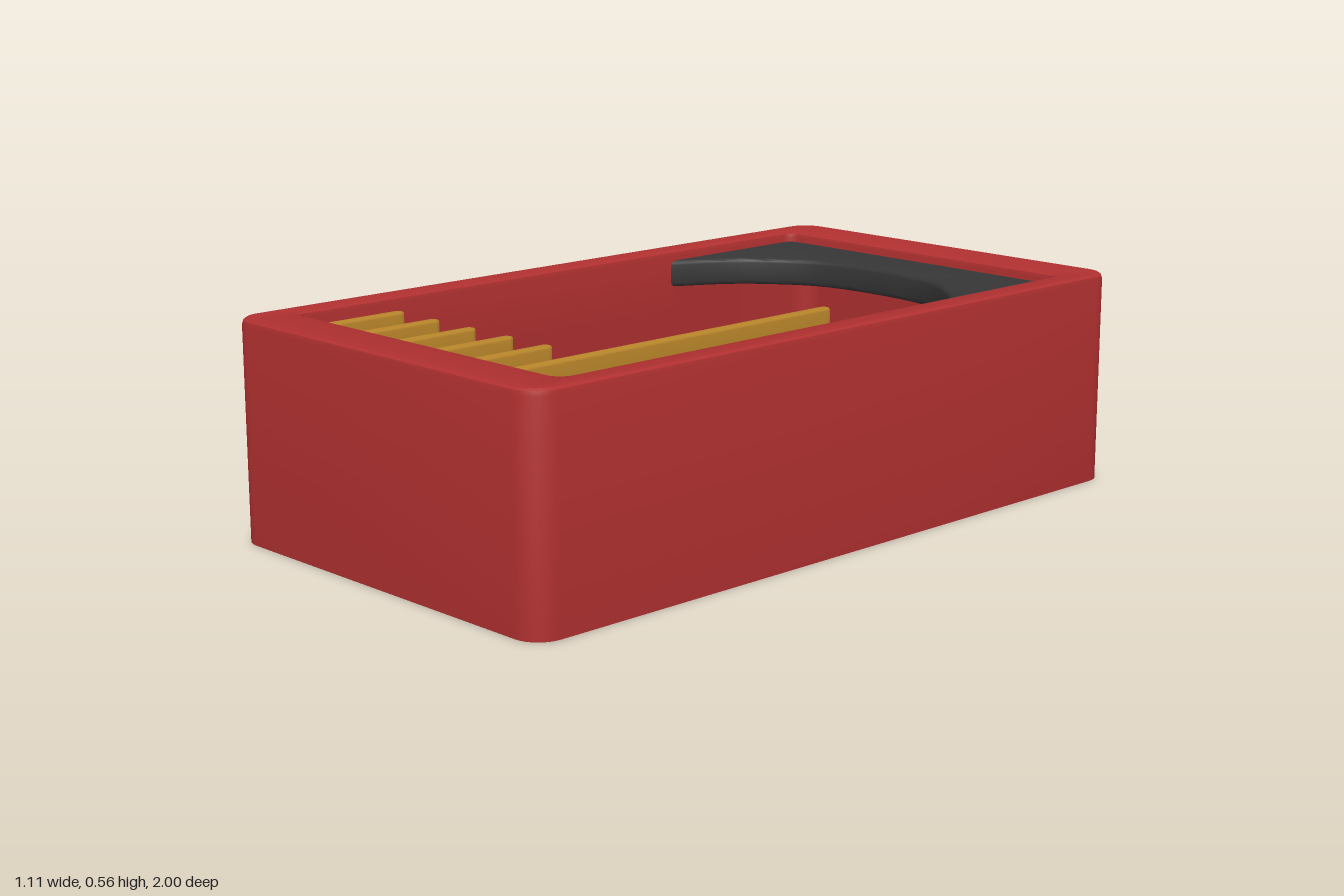
import * as THREE from 'three';
import { toCreasedNormals } from 'three/addons/utils/BufferGeometryUtils.js';

const red = new THREE.MeshStandardMaterial({ color: 0xb03030, side: THREE.DoubleSide });
const dark = new THREE.MeshStandardMaterial({ color: 0x363636 });
const gold = new THREE.MeshStandardMaterial({ color: 0xb8852a });

const LIP = 0.385;      // underside of the inner lip
const STEP_Z = -0.39;   // behind this line the lip is shallower

// Rounded rectangle in x and z, with extra points on the sides at the lip step
function ring([w, d, r, y, scale = 1, stepped = false]) {
  const pts = [];
  const corners = [[1, 1], [1, -1], [-1, -1], [-1, 1]];
  corners.forEach(([sx, sz], c) => {
    for (let i = 0; i <= 8; i++) {
      const a = Math.PI / 2 * (1 - c - i / 8);
      pts.push([sx * (w - r) + r * Math.cos(a), sz * (d - r) + r * Math.sin(a)]);
    }
    if (c === 0) pts.push([w, STEP_Z + 0.001], [w, STEP_Z - 0.001]);
    if (c === 2) pts.push([-w, STEP_Z - 0.001], [-w, STEP_Z + 0.001]);
  });
  return pts.map(([x, z]) =>
    new THREE.Vector3(x * scale, stepped && z < STEP_Z ? 0.46 : y, z * scale));
}

// Skin between successive rings
function loft(sections) {
  const rings = sections.map(ring), pos = [];
  const push = (...vs) => vs.forEach(v => pos.push(v.x, v.y, v.z));
  for (let k = 0; k < rings.length - 1; k++) {
    const a = rings[k], b = rings[k + 1], n = a.length;
    for (let i = 0; i < n; i++) {
      const j = (i + 1) % n;
      push(a[i], b[j], a[j], a[i], b[i], b[j]);
    }
  }
  // rings run clockwise seen from above, so flip every triangle to face outwards
  for (let t = 0; t < pos.length; t += 9) {
    for (let c = 0; c < 3; c++) [pos[t + 3 + c], pos[t + 6 + c]] = [pos[t + 6 + c], pos[t + 3 + c]];
  }
  const g = new THREE.BufferGeometry();
  g.setAttribute('position', new THREE.Float32BufferAttribute(pos, 3));
  return toCreasedNormals(g, 0.6);
}

// Extrude a plan outline (x, -z) upwards from y0 to y1
function plate(shape, y0, y1, bevel) {
  const g = new THREE.ExtrudeGeometry(shape, {
    depth: y1 - y0 - 2 * bevel, bevelEnabled: true, bevelThickness: bevel,
    bevelSize: bevel, bevelOffset: -bevel, bevelSegments: 3, curveSegments: 8,
  });
  g.rotateX(-Math.PI / 2).translate(0, y0 + bevel, 0);
  return toCreasedNormals(g, 0.6);
}

function add(parent, name, geometry, material) {
  const m = new THREE.Mesh(geometry, material);
  m.name = name;
  parent.add(m);
  return m;
}

export function createModel() {
  const model = new THREE.Group();
  model.name = 'openTray';

  // Hollow case: base, outer wall, rim, inner lip, inner wall, floor
  add(model, 'case', loft([
    [0.555, 1, 0.07, 0, 0],
    [0.555, 1, 0.07, 0],
    [0.555, 1, 0.07, 0.54],
    [0.552, 0.997, 0.067, 0.55],
    [0.545, 0.99, 0.06, 0.555],
    [0.492, 0.872, 0.042, 0.555],
    [0.483, 0.863, 0.033, 0.55],
    [0.48, 0.86, 0.03, 0.54],
    [0.48, 0.86, 0.03, LIP, 1, true],
    [0.547, 0.992, 0.062, LIP, 1, true],
    [0.547, 0.992, 0.062, 0.008],
    [0.547, 0.992, 0.062, 0.008, 0],
  ]), red);

  // Dark rear cover with an arched front edge
  const arc = new THREE.SplineCurve([
    [0.495, 0.36], [0.47, 0.4], [0.4, 0.52], [0.32, 0.6], [0.21, 0.67], [0.08, 0.695],
    [-0.08, 0.695], [-0.21, 0.67], [-0.32, 0.6], [-0.4, 0.52], [-0.47, 0.4], [-0.495, 0.36],
  ].map(p => new THREE.Vector2(...p)));
  const cover = new THREE.Shape([
    ...arc.getPoints(33), new THREE.Vector2(-0.495, 0.88), new THREE.Vector2(0.495, 0.88),
  ]);
  add(model, 'rearCover', plate(cover, 0.455, 0.528, 0.012), dark);

  // Upright dividers with a rounded free end
  const divider = (name, x, zBack) => {
    const r = 0.016, s = new THREE.Shape();
    s.moveTo(-r, -0.865);
    s.lineTo(r, -0.865);
    s.lineTo(r, -zBack - r);
    s.absarc(0, -zBack - r, r, 0, Math.PI, false);
    s.closePath();
    add(model, name, plate(s, LIP, 0.55, 0.005), gold).position.x = x;
  };
  for (let i = 0; i < 5; i++) divider('shortDivider', -0.345 + i * 0.1365, 0.645);
  divider('longDivider', 0.337, -0.135);

  return model;
}
